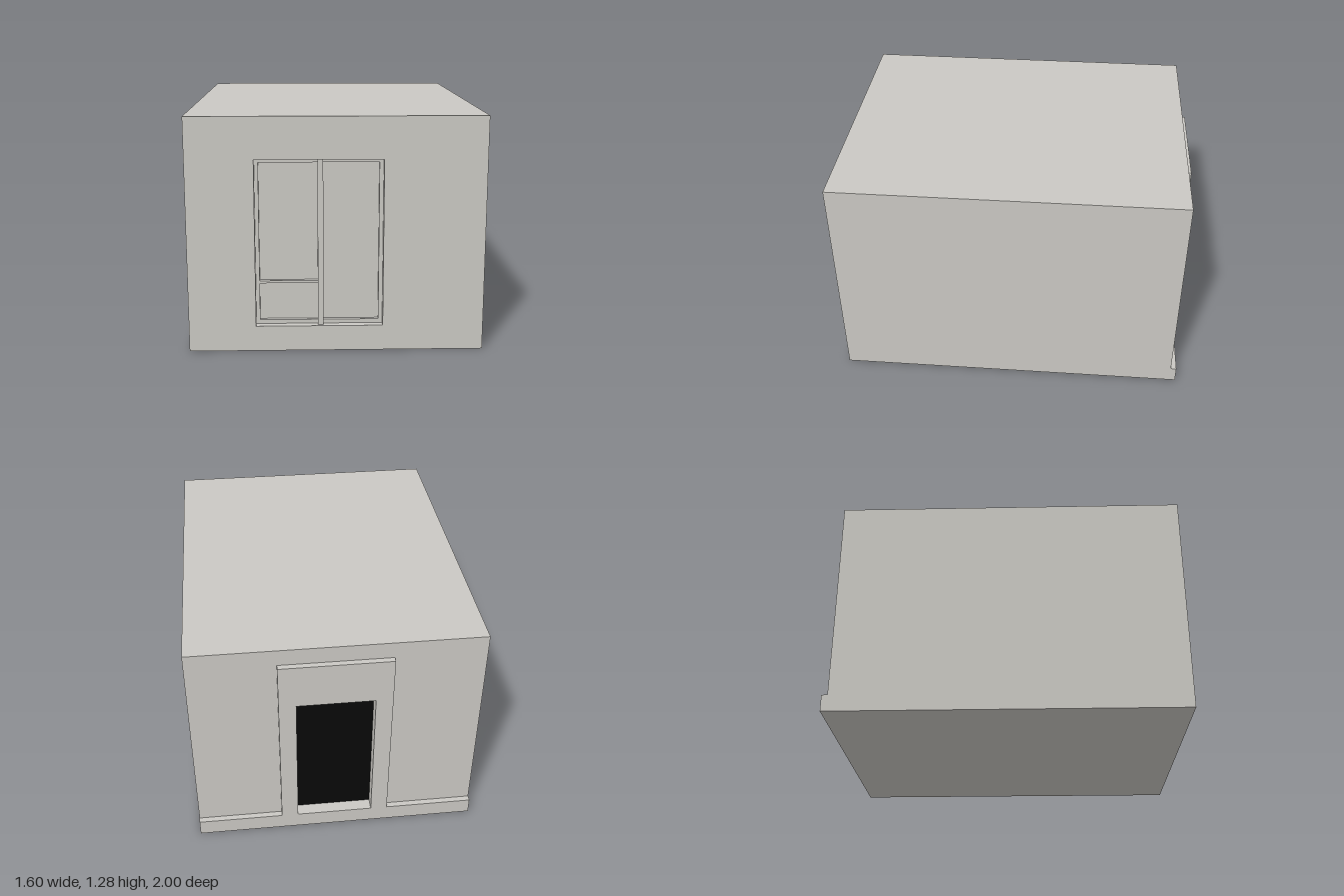
import * as THREE from 'three';

const plaster = new THREE.MeshStandardMaterial({ color: 0xcac8c3 });
plaster.name = 'plaster';
const darkness = new THREE.MeshStandardMaterial({ color: 0x080808 });
darkness.name = 'darkDoorway';

const W = 0.8, H = 1.285, FRONT = 1, BACK = -0.967, REAR = -1;
const LEDGE = 0.095;
const PANE_Z = 0.935, DOOR_Z = -0.93;
// Rectangles as x0, x1, y0, y1
const WINDOW = [-0.436, 0.252, 0.14, 1.056];
const GLAZING = [-0.415, 0.23, 0.162, 1.035];
const DOOR = [-0.205, 0.225, LEDGE, 0.93];
const SURROUND = [-0.3, 0.32, LEDGE, 1.19];

const corners = ([x0, x1, y0, y1]) => [[x0, y0], [x1, y0], [x1, y1], [x0, y1]];
const toPoints = (list) => list.map(([x, y]) => new THREE.Vector2(x, y));

function outline(points, hole) {
  const shape = new THREE.Shape(toPoints(points));
  if (hole) shape.holes.push(new THREE.Path(toPoints(corners(hole))));
  return shape;
}

function extrude(shape, z0, z1) {
  return new THREE.ExtrudeGeometry(shape, { depth: z1 - z0, bevelEnabled: false }).translate(0, 0, z0);
}

function block([x0, x1, y0, y1], z0, z1) {
  return new THREE.BoxGeometry(x1 - x0, y1 - y0, z1 - z0)
    .translate((x0 + x1) / 2, (y0 + y1) / 2, (z0 + z1) / 2);
}

// Four sides of a box, open at both z ends
function sleeve(rect, z0, z1) {
  const g = block(rect, z0, z1);
  g.setIndex(Array.from(g.index.array).slice(0, 24));
  g.clearGroups();
  return g;
}

// Turns a surface to face the other way
function flip(g) {
  g.setIndex(Array.from(g.index.array).reverse());
  const n = g.attributes.normal;
  for (let i = 0; i < n.count; i++) n.setXYZ(i, -n.getX(i), -n.getY(i), -n.getZ(i));
  return g;
}

export function createModel() {
  const model = new THREE.Group();
  model.name = 'room';
  const add = (parent, name, geometry, material = plaster) => {
    const mesh = new THREE.Mesh(geometry, material);
    mesh.name = name;
    parent.add(mesh);
  };
  const group = (name) => {
    const g = new THREE.Group();
    g.name = name;
    model.add(g);
    return g;
  };

  // Shell: roof, floor and side walls, then the pierced end walls
  const shell = group('shell');
  const wallRect = [-W, W, 0, H];
  add(shell, 'roofFloorAndSides', sleeve(wallRect, BACK, FRONT));
  add(shell, 'frontWall', new THREE.ShapeGeometry(outline(corners(wallRect), WINDOW)).translate(0, 0, FRONT));
  const [s0, s1, , sTop] = SURROUND;
  add(shell, 'backWall', flip(new THREE.ShapeGeometry(outline([
    [-W, LEDGE], [s0, LEDGE], [s0, sTop], [s1, sTop], [s1, LEDGE], [W, LEDGE], [W, H], [-W, H],
  ])).translate(0, 0, BACK)));

  // Window: reveal, frame, bars and pane set into the front wall
  const win = group('window');
  add(win, 'windowReveal', flip(sleeve(WINDOW, PANE_Z, FRONT)));
  add(win, 'windowFrame', extrude(outline(corners(WINDOW), GLAZING), PANE_Z, 0.957));
  add(win, 'mullion', block([-0.1, -0.07, WINDOW[2], WINDOW[3]], PANE_Z, 0.98));
  add(win, 'transom', block([GLAZING[0], -0.1, 0.37, 0.384], PANE_Z, 0.957));
  add(win, 'windowPane', new THREE.ShapeGeometry(outline(corners(WINDOW))).translate(0, 0, PANE_Z));

  // Back: plinth ledge and door surround in one slab, with a dark doorway
  const door = group('doorway');
  add(door, 'plinthAndSurround', extrude(outline([
    [-W, 0], [W, 0], [W, LEDGE], [s1, LEDGE], [s1, sTop], [s0, sTop], [s0, LEDGE], [-W, LEDGE],
  ], DOOR), REAR, BACK));
  add(door, 'doorReveal', flip(sleeve(DOOR, BACK, DOOR_Z)));
  add(door, 'doorPanel', flip(new THREE.ShapeGeometry(outline(corners(DOOR))).translate(0, 0, DOOR_Z)), darkness);

  return model;
}
